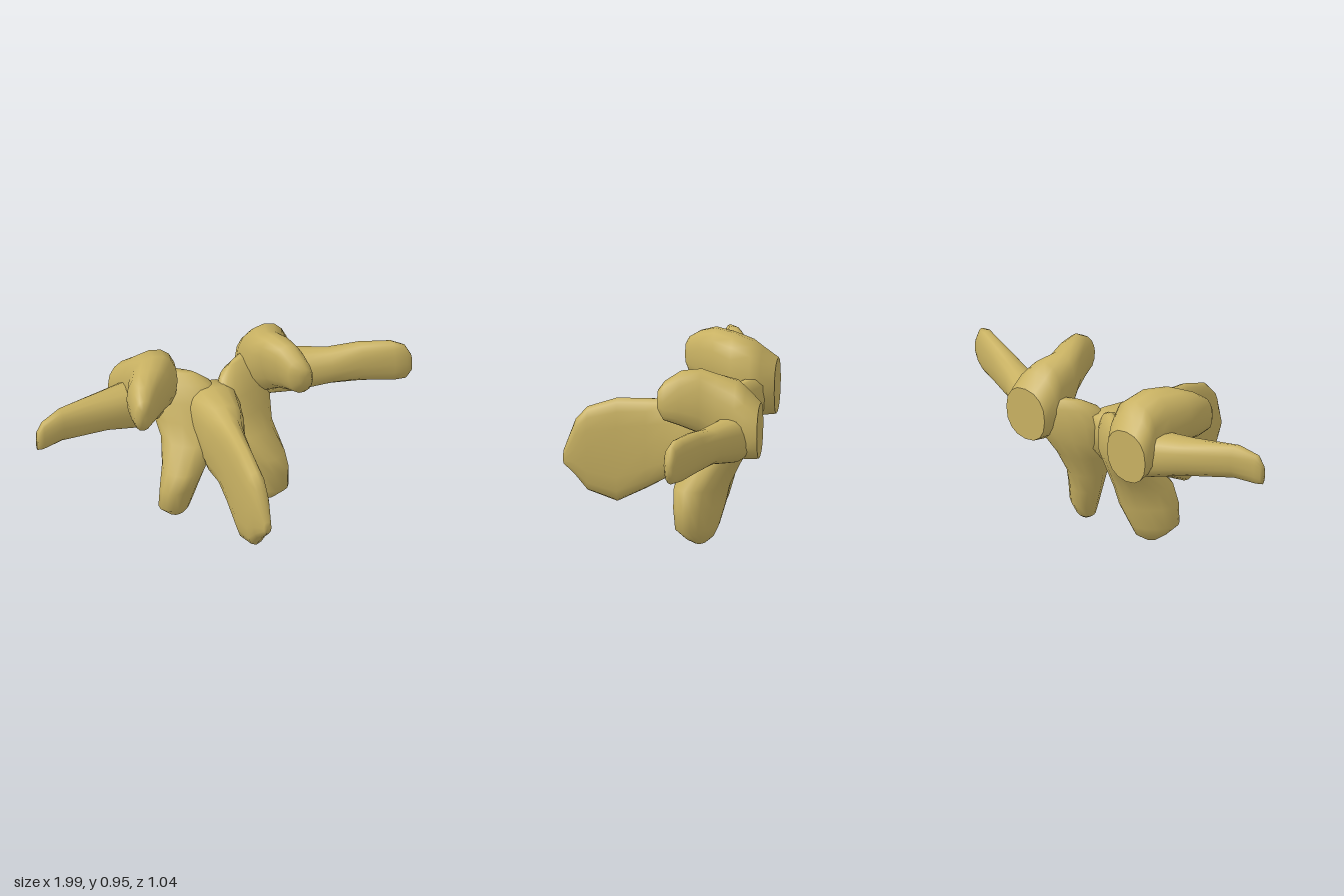
import * as THREE from 'three';

const SIDES = 16;

// Skin through rounded cross-sections stacked along an axis (0 = x, 1 = y, 2 = z).
// ring: [position on axis, centre u, centre v, radius u, radius v, tilt], u and v being
// the next two axes in cyclic order; ring positions increase.
function loft(axis, rings, power = 0.88) {
  const pos = [], idx = [], n = SIDES;
  const put = (t, u, v) => {
    const p = [0, 0, 0];
    p[axis] = t;
    p[(axis + 1) % 3] = u;
    p[(axis + 2) % 3] = v;
    pos.push(...p);
  };
  const soft = (k) => Math.sign(k) * Math.abs(k) ** power;
  for (const [t, cu, cv, ru, rv, a = 0] of rings) {
    for (let j = 0; j < n; j++) {
      const w = (j / n) * Math.PI * 2;
      const u = ru * soft(Math.cos(w)), v = rv * soft(Math.sin(w));
      put(t, cu + u * Math.cos(a) - v * Math.sin(a), cv + u * Math.sin(a) + v * Math.cos(a));
    }
  }
  const last = rings.length - 1, start = rings.length * n, end = start + 1;
  put(...rings[0].slice(0, 3));
  put(...rings[last].slice(0, 3));
  for (let j = 0; j < n; j++) {
    const k = (j + 1) % n;
    for (let i = 0; i < last; i++) {
      const a = i * n + j, b = i * n + k;
      idx.push(a, b, a + n, b, b + n, a + n);
    }
    idx.push(start, k, j, end, last * n + j, last * n + k);
  }
  const g = new THREE.BufferGeometry();
  g.setAttribute('position', new THREE.Float32BufferAttribute(pos, 3));
  g.setIndex(idx);
  g.computeVertexNormals();
  return g;
}

export function createModel() {
  const group = new THREE.Group();
  const bone = new THREE.MeshStandardMaterial({ color: 0xc8b162 });
  bone.name = 'bone';
  const add = (name, geometry) => {
    const mesh = new THREE.Mesh(geometry, bone);
    mesh.name = name;
    group.add(mesh);
  };

  // Flat blade at the midline, flaring into the arch at the back
  add('spineBlade', loft(2, [
    [-0.34, -0.03, 0.58, 0.1, 0.1],
    [-0.25, -0.03, 0.53, 0.14, 0.165],
    [-0.1, -0.03, 0.47, 0.11, 0.21],
    [0, -0.04, 0.46, 0.08, 0.21],
    [0.1, -0.045, 0.428, 0.066, 0.238],
    [0.25, -0.055, 0.385, 0.057, 0.275],
    [0.4, -0.055, 0.385, 0.055, 0.222],
    [0.46, -0.052, 0.39, 0.045, 0.15],
    [0.52, -0.04, 0.34, 0.02, 0.035],
  ], 0.75));

  // Plate of the arch running down into the lower joint
  const lamina = [
    [0, -0.2, 0.2, 0.03, 0.025, 0.79],
    [0.03, -0.2, 0.2, 0.08, 0.05, 0.79],
    [0.09, -0.19, 0.22, 0.125, 0.075, 0.79],
    [0.2, -0.2, 0.2, 0.15, 0.09, 0.79],
    [0.3, -0.21, 0.18, 0.15, 0.11, 0.7],
    [0.42, -0.27, 0.15, 0.12, 0.14, 0.6],
    [0.52, -0.32, 0.15, 0.11, 0.17, 0.57],
    [0.62, -0.35, 0.16, 0.09, 0.2, 0.57],
    [0.7, -0.38, 0.17, 0.06, 0.16, 0.57],
    [0.74, -0.4, 0.18, 0.02, 0.1, 0.57],
  ];
  add('leftLamina', loft(1, lamina));
  // The right one is mirrored, set a little further out and higher at its tip
  add('rightLamina', loft(1, lamina.map(([y, z, x, rz, rx, a]) =>
    [y + 0.025 * (1 - y / 0.74), z, -x - 0.045 * Math.max(0, 1 - y / 0.5), rz, rx, -a])));

  // Upper joints, from the flat cut of the pedicle to the front tip;
  // the first ring is doubled to keep the edge of the cut sharp
  const leftCut = [-0.52, 0.32, 0.65, 0.13, 0.14];
  add('leftUpperJoint', loft(2, [
    leftCut, leftCut,
    [-0.45, 0.31, 0.68, 0.14, 0.18],
    [-0.4, 0.3, 0.705, 0.125, 0.2],
    [-0.3, 0.29, 0.745, 0.105, 0.18, 0.1],
    [-0.22, 0.31, 0.79, 0.095, 0.165, 0.2],
    [-0.12, 0.335, 0.81, 0.08, 0.14, 0.2],
    [-0.04, 0.355, 0.8, 0.065, 0.1, 0.2],
    [-0.01, 0.37, 0.81, 0.035, 0.05, 0.2],
  ]));
  const rightCut = [-0.52, -0.365, 0.65, 0.13, 0.14];
  add('rightUpperJoint', loft(2, [
    rightCut, rightCut,
    [-0.45, -0.34, 0.68, 0.15, 0.17],
    [-0.4, -0.32, 0.71, 0.145, 0.19],
    [-0.3, -0.34, 0.75, 0.135, 0.18],
    [-0.2, -0.4, 0.78, 0.12, 0.15],
    [-0.12, -0.45, 0.77, 0.08, 0.125],
    [-0.06, -0.48, 0.76, 0.05, 0.09],
    [-0.04, -0.49, 0.76, 0.025, 0.05],
  ]));

  // Side wings sweeping outward and forward
  add('leftWing', loft(0, [
    [0.28, 0.62, -0.4, 0.12, 0.1],
    [0.42, 0.62, -0.37, 0.115, 0.11],
    [0.6, 0.65, -0.285, 0.095, 0.078],
    [0.75, 0.67, -0.235, 0.108, 0.062],
    [0.9, 0.675, -0.175, 0.115, 0.05],
    [0.96, 0.67, -0.15, 0.1, 0.035],
    [0.99, 0.66, -0.145, 0.05, 0.02],
  ]));
  add('rightWing', loft(0, [
    [-1, 0.65, -0.2, 0.055, 0.02],
    [-0.97, 0.67, -0.205, 0.08, 0.03],
    [-0.86, 0.69, -0.237, 0.09, 0.05],
    [-0.6, 0.655, -0.315, 0.1, 0.09],
    [-0.42, 0.625, -0.36, 0.12, 0.12],
    [-0.28, 0.62, -0.4, 0.12, 0.1],
  ]));

  return group;
}
